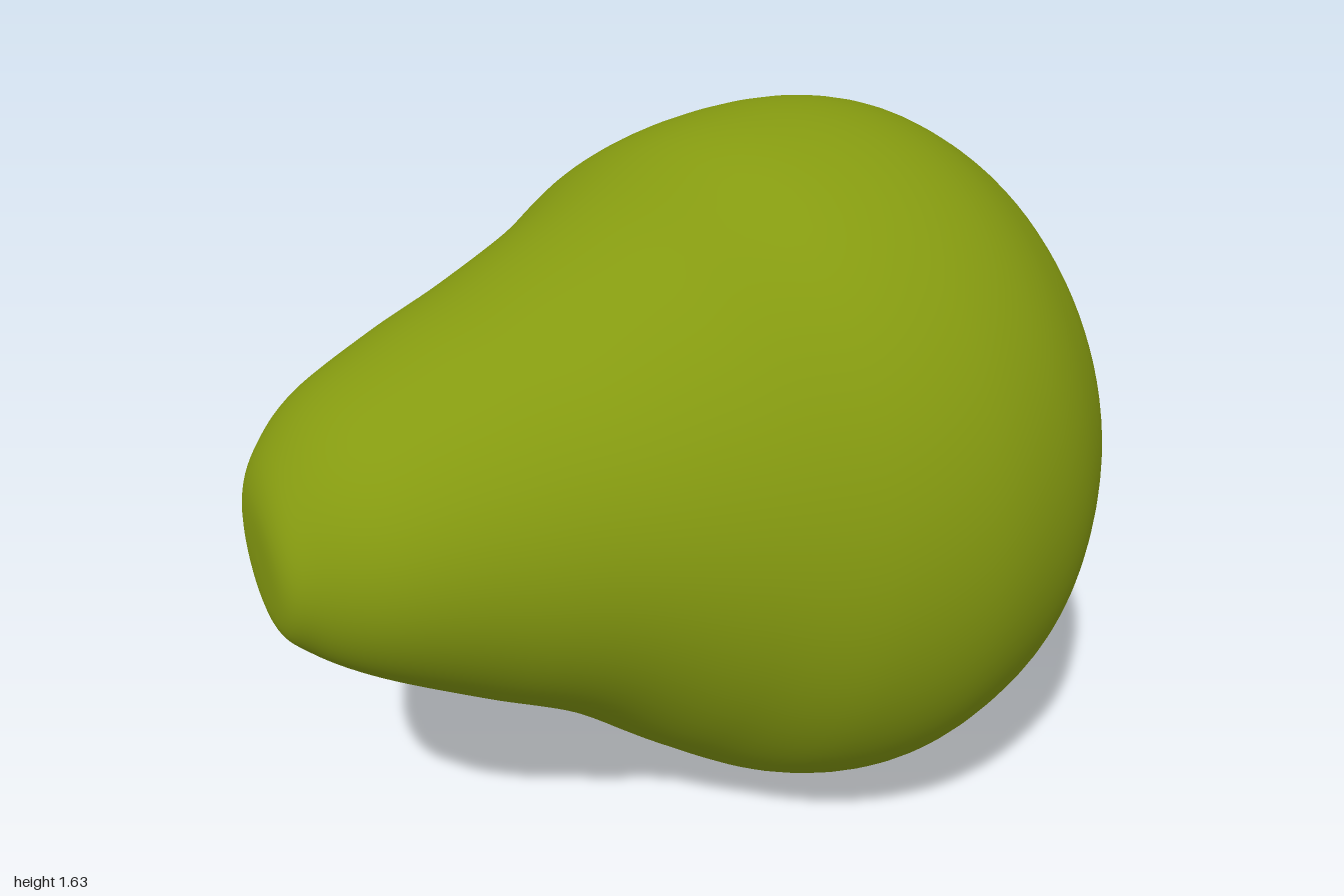
import * as THREE from 'three';

const SEGMENTS = 96;
const STEPS = 7;

// Cross-sections from the blossom dimple (back) to the neck tip (front):
// z, centre x, centre y, radius x, radius y, tilt across x, tilt across y
const SECTIONS = [
  [-0.79, 0.05, 0.82, 0, 0, 0.18, 0.15],
  [-0.83, 0.05, 0.825, 0.05, 0.05, 0.18, 0.15],
  [-0.885, 0.055, 0.835, 0.14, 0.14, 0.18, 0.15],
  [-0.925, 0.05, 0.84, 0.27, 0.27, 0.19, 0.15],
  [-0.90, 0.035, 0.86, 0.415, 0.405, 0.17, 0.13],
  [-0.80, 0.025, 0.87, 0.58, 0.575, 0.10, 0.08],
  [-0.60, 0.00, 0.823, 0.73, 0.742, 0.03, 0.02],
  [-0.40, 0.00, 0.82, 0.80, 0.807, 0, 0],
  [-0.20, 0.00, 0.82, 0.815, 0.813, 0, 0],
  [0.00, 0.00, 0.832, 0.75, 0.757, 0, 0],
  [0.20, -0.02, 0.835, 0.62, 0.63, 0, 0],
  [0.40, -0.053, 0.855, 0.522, 0.50, 0, 0],
  [0.60, -0.078, 0.868, 0.437, 0.408, 0.03, 0],
  [0.80, -0.105, 0.88, 0.343, 0.305, 0.10, 0],
  [0.91, -0.135, 0.872, 0.245, 0.22, 0.18, 0],
  [0.965, -0.14, 0.858, 0.16, 0.135, 0.20, 0],
  [0.975, -0.14, 0.855, 0, 0, 0.20, 0],
];

// Smooth interpolation of every section value
function sectionAt(t) {
  const last = SECTIONS.length - 1;
  const i = Math.min(Math.floor(t), last - 1);
  const f = t - i;
  const [p, a, b, q] = [i - 1, i, i + 1, i + 2].map(
    (k) => SECTIONS[THREE.MathUtils.clamp(k, 0, last)]);
  return a.map((v, k) => v + 0.5 * f * (b[k] - p[k]
    + f * (2 * p[k] - 5 * v + 4 * b[k] - q[k] + f * (3 * (v - b[k]) + q[k] - p[k]))));
}

function fruitGeometry() {
  const positions = [];
  const indices = [];
  const rings = (SECTIONS.length - 1) * STEPS;
  for (let i = 0; i <= rings; i++) {
    const [z, cx, cy, rx, ry, tx, ty] = sectionAt(i / STEPS);
    const body = Math.exp(-(((z + 0.3) / 0.5) ** 2));
    for (let j = 0; j < SEGMENTS; j++) {
      const angle = (j / SEGMENTS) * Math.PI * 2;
      // Body is slightly wider along one diagonal, with one flattened shoulder
      const uneven = 1 + body * (0.012 * Math.cos(2 * (angle - 0.87))
        - 0.045 * Math.exp(-(((angle - 2.1) / 0.42) ** 2)));
      const x = Math.max(rx, 0) * Math.cos(angle) * uneven;
      const y = Math.max(ry, 0) * Math.sin(angle) * uneven;
      positions.push(cx + x, cy + y, z + tx * x + ty * y);
      if (i < rings) {
        const a = i * SEGMENTS + j;
        const b = i * SEGMENTS + ((j + 1) % SEGMENTS);
        indices.push(a, b, a + SEGMENTS, b, b + SEGMENTS, a + SEGMENTS);
      }
    }
  }
  const geometry = new THREE.BufferGeometry();
  geometry.setAttribute('position', new THREE.Float32BufferAttribute(positions, 3));
  geometry.setIndex(indices);
  geometry.computeVertexNormals();
  return geometry;
}

export function createModel() {
  const group = new THREE.Group();
  group.name = 'pear';
  const skin = new THREE.MeshStandardMaterial({ color: 0x859a10 });
  skin.name = 'pear green';

  // Fruit lying on its side, neck forward
  const fruit = new THREE.Mesh(fruitGeometry(), skin);
  fruit.name = 'fruit';
  group.add(fruit);

  // Small dried blossom remnant inside the dimple, an open curl
  const calyx = new THREE.Mesh(new THREE.TorusGeometry(0.035, 0.014, 8, 20, 4.6), skin);
  calyx.name = 'calyx';
  calyx.position.set(0.05, 0.82, -0.825);
  calyx.rotation.set(-0.15, 0.18, 2);
  group.add(calyx);
  return group;
}
